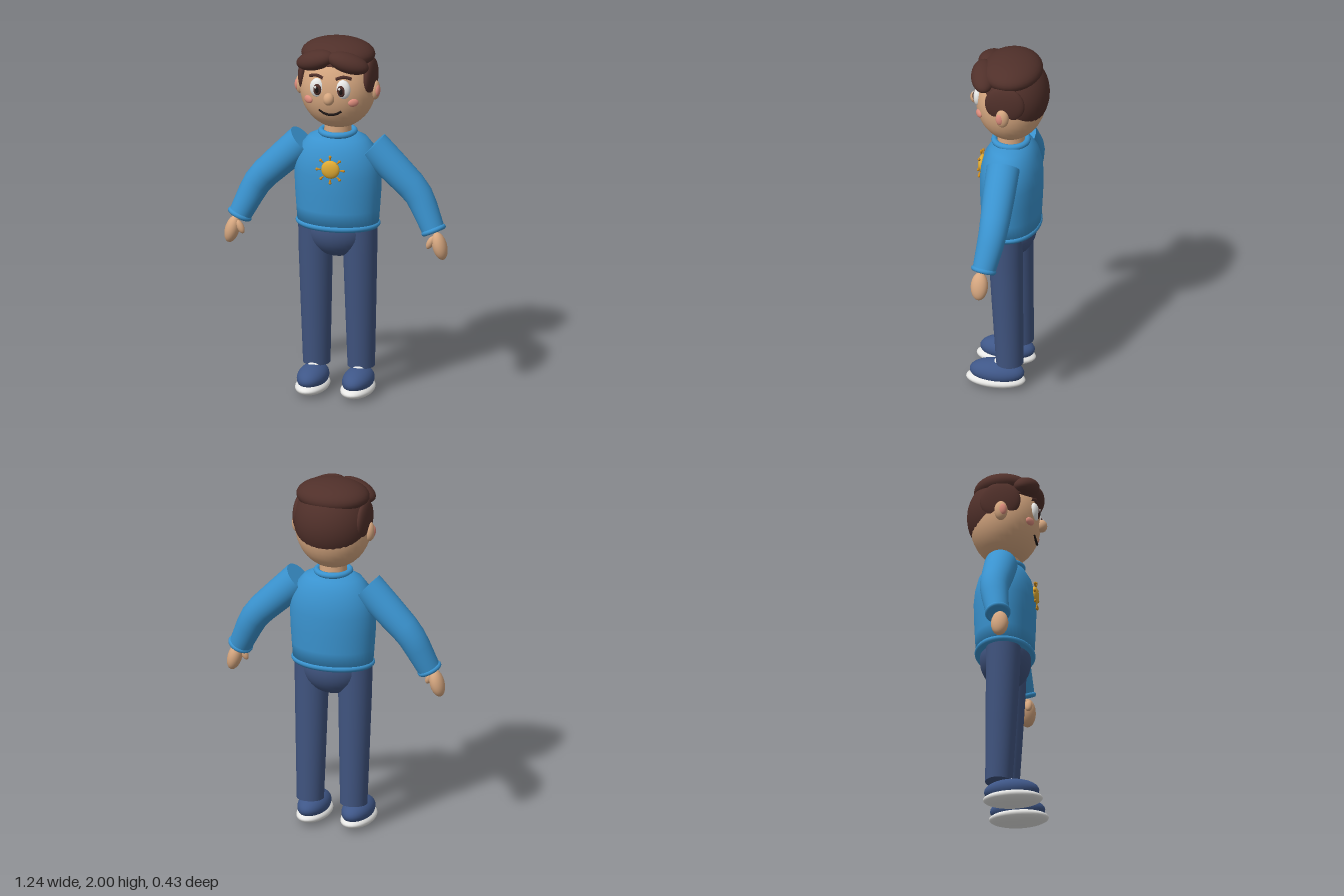
import * as THREE from 'three';

const mat = (name, color) => {
  const m = new THREE.MeshStandardMaterial({ color });
  m.name = name;
  return m;
};

export function createModel() {
  const model = new THREE.Group();
  model.name = 'standingBoy';

  const skin = mat('skin', 0xd6a780);
  const blue = mat('sweaterBlue', 0x3a93cf);
  const denim = mat('denim', 0x40547f);
  const navy = mat('shoeNavy', 0x3f5788);
  const hair = mat('hairBrown', 0x50302a);
  const white = mat('white', 0xf0f0ee);
  const pink = mat('blush', 0xdc8c7c);
  const yellow = mat('sunYellow', 0xe0ab34);
  const orange = mat('sunOrange', 0xc98a22);
  const black = mat('black', 0x1e1716);

  const add = (name, geometry, material, pos = [0, 0, 0], rot = [0, 0, 0]) => {
    const mesh = new THREE.Mesh(geometry, material);
    mesh.name = name;
    mesh.position.set(...pos);
    mesh.rotation.set(...rot);
    model.add(mesh);
    return mesh;
  };
  const ball = (name, material, pos, radii, rot) =>
    add(name, new THREE.SphereGeometry(1, 32, 20).scale(...radii), material, pos, rot);

  // Limb with round sections [x, y, z, radius] and closed ends
  const limb = (name, sections, material, side) => {
    const n = 28, verts = [], index = [];
    const pts = sections.map(s => new THREE.Vector3(s[0] * side, s[1], s[2]));
    const ring = i => {
      const t = pts[Math.min(i + 1, pts.length - 1)].clone().sub(pts[Math.max(i - 1, 0)]).normalize();
      const u = new THREE.Vector3(0, 0, 1).addScaledVector(t, -t.z).normalize();
      const v = t.clone().cross(u);
      for (let k = 0; k < n; k++) {
        const a = k / n * Math.PI * 2, r = sections[i][3];
        const p = pts[i].clone().addScaledVector(u, r * Math.cos(a)).addScaledVector(v, r * Math.sin(a));
        verts.push(p.x, p.y, p.z);
      }
    };
    sections.forEach((_, i) => ring(i));
    for (let i = 0; i < sections.length - 1; i++) {
      for (let k = 0; k < n; k++) {
        const a = i * n + k, b = i * n + (k + 1) % n;
        index.push(a, b, b + n, a, b + n, a + n);
      }
    }
    // End caps use their own rings to keep the rims sharp
    for (const [i, flip] of [[0, true], [sections.length - 1, false]]) {
      const start = verts.length / 3;
      ring(i);
      verts.push(pts[i].x, pts[i].y, pts[i].z);
      for (let k = 0; k < n; k++) {
        const a = start + k, b = start + (k + 1) % n;
        index.push(start + n, flip ? b : a, flip ? a : b);
      }
    }
    const g = new THREE.BufferGeometry();
    g.setAttribute('position', new THREE.Float32BufferAttribute(verts, 3));
    g.setIndex(index);
    g.computeVertexNormals();
    return add(name, g, material);
  };

  const tube = (name, points, radius, material) => {
    const curve = new THREE.CatmullRomCurve3(points.map(p => new THREE.Vector3(...p)));
    return add(name, new THREE.TubeGeometry(curve, 20, radius, 8), material);
  };

  // Sweater body, collar and hem
  const profile = [[0, 0.945], [0.222, 0.945], [0.23, 1.05], [0.237, 1.15], [0.24, 1.25], [0.23, 1.32],
    [0.205, 1.39], [0.16, 1.445], [0.1, 1.475], [0, 1.475]].map(p => new THREE.Vector2(...p));
  add('sweaterBody', new THREE.LatheGeometry(profile, 48).scale(1, 1, 0.7), blue, [0, 0, -0.012]);
  add('sweaterCollar', new THREE.TorusGeometry(0.09, 0.017, 12, 40).rotateX(Math.PI / 2), blue, [0, 1.475, -0.008]);
  add('sweaterHem', new THREE.TorusGeometry(0.219, 0.014, 12, 48).rotateX(Math.PI / 2).scale(1, 1, 0.7), blue, [0, 0.962, -0.012]);
  add('neck', new THREE.CylinderGeometry(0.073, 0.075, 0.13, 32), skin, [0, 1.49, -0.008]);

  // Sun badge on the chest
  ball('sunDisc', yellow, [0, 1.303, 0.15], [0.051, 0.051, 0.022]);
  for (let i = 0; i < 8; i++) {
    const a = i * Math.PI / 4;
    ball('sunRay', orange, [-Math.sin(a) * 0.066, 1.303 + Math.cos(a) * 0.066, 0.157], [0.005, 0.014, 0.006], [0, 0, a]);
    ball('sunRayTip', orange, [-Math.sin(a) * 0.074, 1.303 + Math.cos(a) * 0.074, 0.157], [0.008, 0.008, 0.007]);
  }

  // Trouser seat
  ball('trouserSeat', denim, [0, 0.925, -0.01], [0.18, 0.155, 0.138]);

  for (const s of [-1, 1]) {
    // Arms, cuffs and hands
    limb('sleeve', [[0.194, 1.406, -0.01, 0.09], [0.3, 1.302, -0.012, 0.087], [0.405, 1.2, -0.014, 0.081],
      [0.45, 1.145, -0.012, 0.077], [0.482, 1.085, -0.004, 0.073], [0.543, 0.955, 0.018, 0.062]], blue, s);
    const cuff = add('sleeveCuff', new THREE.TorusGeometry(0.056, 0.014, 12, 32), blue, [s * 0.54, 0.964, 0.018]);
    cuff.quaternion.setFromUnitVectors(new THREE.Vector3(0, 0, 1), new THREE.Vector3(s * 0.42, -0.9, 0.15).normalize());
    ball('hand', skin, [s * 0.578, 0.882, 0.033], [0.039, 0.078, 0.047], [0, 0, s * 0.27]);
    ball('thumb', skin, [s * 0.53, 0.902, 0.047], [0.019, 0.04, 0.02], [0, 0, -s * 0.45]);

    // Legs and shoes
    limb('trouserLeg', [[0.123, 0.96, -0.005, 0.095], [0.124, 0.8, -0.008, 0.092],
      [0.124, 0.5, -0.018, 0.084], [0.124, 0.15, -0.03, 0.074]], denim, s);
    ball('shoeSole', white, [s * 0.126, 0.044, 0.047], [0.089, 0.04, 0.163]);
    ball('shoeUpper', navy, [s * 0.126, 0.09, 0.04], [0.082, 0.066, 0.15]);
    ball('shoeTongue', white, [s * 0.126, 0.148, 0.036], [0.03, 0.017, 0.02]);

    // Ears
    ball('ear', skin, [s * 0.207, 1.725, -0.008], [0.028, 0.055, 0.036]);
    ball('innerEar', pink, [s * 0.222, 1.725, 0.002], [0.016, 0.034, 0.023]);

    // Eyes, brows and cheeks
    ball('eyeWhite', white, [s * 0.071, 1.765, 0.155], [0.042, 0.054, 0.027]);
    ball('iris', hair, [s * 0.067, 1.762, 0.174], [0.023, 0.033, 0.013]);
    ball('pupil', black, [s * 0.067, 1.762, 0.181], [0.013, 0.02, 0.008]);
    ball('eyeHighlight', white, [s * 0.067 - 0.008, 1.776, 0.187], [0.006, 0.008, 0.004]);
    tube('eyebrow', [[s * 0.035, 1.826, 0.17], [s * 0.075, 1.838, 0.162], [s * 0.115, 1.826, 0.143]], 0.009, hair);
    ball('cheek', pink, [s * 0.125, 1.69, 0.139], [0.03, 0.022, 0.014], [0, s * 0.6, 0]);

    // Side hair and fringe
    ball('sideHair', hair, [s * 0.18, 1.795, -0.015], [0.034, 0.107, 0.11]);
    ball('fringe', hair, [s * 0.092, 1.907, 0.118 + s * 0.004], [0.115, 0.054, 0.068], [0, s * 0.2, -s * 0.3]);
  }

  // Head, nose and smile
  ball('head', skin, [0, 1.732, -0.01], [0.208, 0.232, 0.19]);
  ball('nose', skin, [0, 1.715, 0.187], [0.03, 0.035, 0.03]);
  tube('smile', [[-0.062, 1.641, 0.151], [-0.033, 1.624, 0.157], [0, 1.618, 0.159],
    [0.033, 1.624, 0.157], [0.062, 1.641, 0.151]], 0.007, black);

  // Hair cap, cut along a line that drops toward the nape
  add('hairCap', new THREE.SphereGeometry(1, 40, 20, 0, Math.PI * 2, 0, Math.PI / 2)
    .rotateX(-0.56).scale(0.213, 0.222, 0.203), hair, [0, 1.772, -0.014]);
  ball('hairTop', hair, [0, 1.915, -0.015], [0.202, 0.085, 0.165]);

  return model;
}
